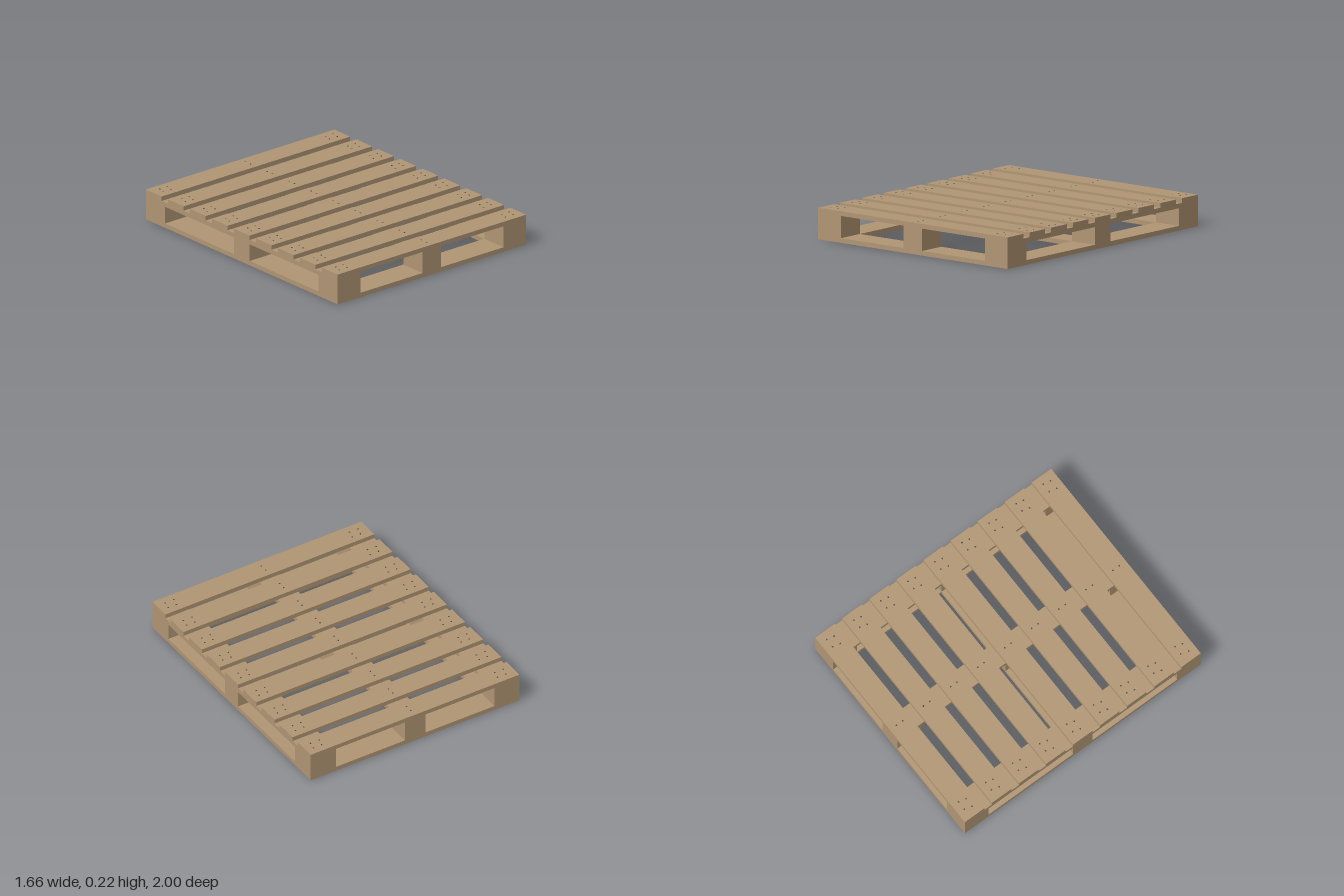
import * as THREE from 'three';

export function createModel() {
  const wood = new THREE.MeshStandardMaterial({ color: 0xb09573 });
  wood.name = 'wood';
  const steel = new THREE.MeshStandardMaterial({ color: 0x4c4a48 });
  steel.name = 'nail steel';
  const model = new THREE.Group();
  model.name = 'pallet';

  // Box from minimum and maximum on each axis
  function plank(name, x0, x1, y0, y1, z0, z1) {
    const mesh = new THREE.Mesh(new THREE.BoxGeometry(x1 - x0, y1 - y0, z1 - z0), wood);
    mesh.position.set((x0 + x1) / 2, (y0 + y1) / 2, (z0 + z1) / 2);
    mesh.name = name;
    model.add(mesh);
  }

  const nailGeometry = new THREE.CylinderGeometry(0.006, 0.006, 0.004, 8);
  function nail(name, x, y, z) {
    const mesh = new THREE.Mesh(nailGeometry, steel);
    mesh.position.set(x, y, z);
    mesh.name = name;
    model.add(mesh);
  }

  const W = 0.832, D = 1;
  const base = 0.002, bottomTop = 0.034, blockTop = 0.155, stringerTop = 0.187, top = 0.219;
  const xBands = [[-W, -0.632], [-0.082, 0.082], [0.632, W]];
  const zBands = [[-D, -0.8], [-0.082, 0.082], [0.8, D]];

  // Nine deck boards with nails over each stringer
  const deckHalf = 0.0825;
  for (let i = 0; i < 9; i++) {
    const z = (i - 4) * (D - deckHalf) / 4;
    plank('deckBoard', -W, W, stringerTop, top, z - deckHalf, z + deckHalf);
    for (const x of [-0.755, -0.69, 0, 0.71, 0.775]) nail('deckNail', x, top - 0.001, z - 0.028);
    for (const x of [-0.77, -0.702, 0, 0.697, 0.765]) nail('deckNail', x, top - 0.001, z + 0.026);
  }

  // Three stringers running front to back, over nine blocks
  for (const [x0, x1] of xBands) {
    plank('stringer', x0, x1, blockTop, stringerTop, -D, D);
    for (const [z0, z1] of zBands) plank('block', x0, x1, bottomTop, blockTop, z0, z1);
  }

  // Bottom frame: three cross boards joined by side boards
  for (const [z0, z1] of zBands) plank('bottomCrossBoard', -W, W, base, bottomTop, z0, z1);
  for (const [x0, x1] of [xBands[0], xBands[2]]) {
    plank('bottomSideBoard', x0, x1, base, bottomTop, -0.8, -0.082);
    plank('bottomSideBoard', x0, x1, base, bottomTop, 0.082, 0.8);
  }

  // Nails under each block
  for (const z of [-0.9, 0, 0.9]) {
    for (const dz of [-0.03, 0.03]) {
      for (const x of [-0.765, -0.697, 0, 0.697, 0.765]) nail('bottomNail', x, 0.002, z + dz);
    }
  }
  return model;
}
